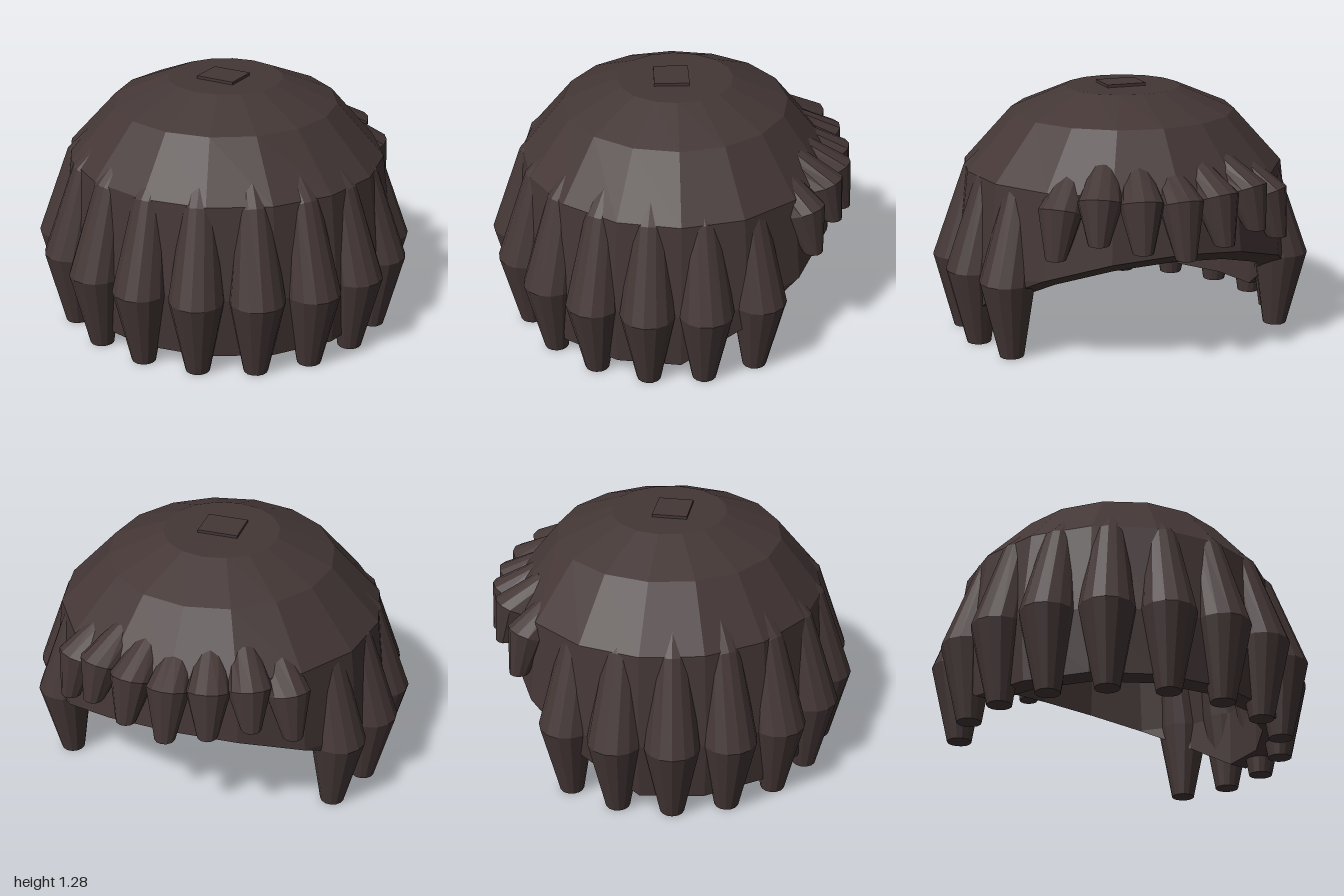
import * as THREE from 'three';

const hair = new THREE.MeshStandardMaterial({ color: 0x443736, flatShading: true, side: THREE.DoubleSide });
hair.name = 'dark brown hair';

// Skin a list of closed rings, ordered from top to bottom
function loft(rings) {
  const n = rings[0].length, pos = rings.flat().flatMap(p => [p.x, p.y, p.z]), index = [];
  for (let j = 0; j < rings.length - 1; j++) {
    for (let i = 0; i < n; i++) {
      const k = (i + 1) % n, a = j * n + i, b = a + n, c = (j + 1) * n + k, d = j * n + k;
      index.push(a, b, c, a, c, d);
    }
  }
  const g = new THREE.BufferGeometry();
  g.setAttribute('position', new THREE.Float32BufferAttribute(pos, 3));
  g.setIndex(index);
  const flat = g.toNonIndexed();
  flat.computeVertexNormals();
  return flat;
}

// Strand at an angle round the head; each section is [distance out, y, radius, tilt]
function strand(angle, sections, depth, sides) {
  const out = new THREE.Vector3(Math.sin(angle), 0, Math.cos(angle));
  const side = new THREE.Vector3(out.z, 0, -out.x);
  return loft(sections.map(([r, y, radius, tilt = 0]) => {
    const centre = new THREE.Vector3(out.x * r, y, out.z * r * depth);
    const up = out.clone().multiplyScalar(Math.cos(tilt)).setY(Math.sin(tilt));
    return Array.from({ length: sides }, (_, i) => {
      const t = i / sides * Math.PI * 2;
      return centre.clone().addScaledVector(side, radius * Math.sin(t)).addScaledVector(up, radius * Math.cos(t));
    });
  }));
}

// Cap of hair, outside and inside: [y, x radius, z radius]
const outer = [[1.27, 0.3, 0.3], [1.15, 0.585, 0.585], [0.875, 0.84, 0.805], [0.4, 0.9, 0.86], [0.08, 0.87, 0.83]];
const inner = [[1.15, 0.25, 0.25], [1.05, 0.49, 0.49], [0.83, 0.7, 0.67], [0.4, 0.77, 0.73], [0.08, 0.76, 0.72]];

function capPoint(profile, a, y) {
  let j = 0;
  while (j < profile.length - 2 && y < profile[j + 1][0]) j++;
  const [p, q] = [profile[j], profile[j + 1]];
  const t = (p[0] - y) / (p[0] - q[0]);
  return new THREE.Vector3(
    Math.sin(a) * THREE.MathUtils.lerp(p[1], q[1], t), y,
    Math.cos(a) * THREE.MathUtils.lerp(p[2], q[2], t) - 0.02);
}

// Rings of one side of the cap; the opening slopes up towards the back
function capRings(profile) {
  const n = 16, top = profile[0][0];
  const rings = [[], ...profile.map(() => [])];
  for (let i = 0; i < n; i++) {
    const a = i / n * Math.PI * 2;
    let cut = 0.08;
    for (let k = 0; k < 8; k++) cut = Math.max(0.08, 0.08 - 0.585 * capPoint(profile, a, cut).z);
    rings[0].push(new THREE.Vector3(0, top, -0.02));
    profile.forEach(([y], j) => rings[j + 1].push(capPoint(profile, a, Math.max(y, cut))));
  }
  return rings;
}

export function createModel() {
  const model = new THREE.Group();
  model.name = 'hair';
  const add = (geometry, name) => {
    const mesh = new THREE.Mesh(geometry, hair);
    mesh.name = name;
    model.add(mesh);
    return mesh;
  };

  // Thick cap: down the outside, across the rim and up the inside
  add(loft([...capRings(outer), ...capRings(inner).reverse()]), 'hairCap');
  add(new THREE.BoxGeometry(0.21, 0.03, 0.18), 'crownPlate').position.set(0, 1.27, 0);

  // Long locks round the front and sides, rooted inside the cap
  const lock = [
    [0.56, 1.04, 0, 0.8], [0.56, 1.04, 0.07, 0.8], [0.755, 0.84, 0.085, 0.4],
    [0.866, 0.4, 0.14], [0.845, 0, 0.062], [0.845, 0, 0]];
  for (let i = -6; i <= 6; i++) {
    add(strand(THREE.MathUtils.degToRad(i * 20), lock, 0.95, 14), 'longLock');
  }

  // Short curls over the back opening, by steps from the middle: [root y, lip y, tip y]
  const heights = [[0.92, 0.83, 0.575], [0.935, 0.84, 0.62], [0.95, 0.85, 0.66], [0.92, 0.79, 0.575]];
  for (let i = -3; i <= 3; i++) {
    const [root, lip, tip] = heights[Math.abs(i)];
    const curl = [
      [0.67, root, 0, 0.87], [0.67, root, 0.075, 0.87],
      [0.84, lip, 0.11, 0.38], [0.905, tip, 0.052], [0.905, tip, 0]];
    add(strand(Math.PI + THREE.MathUtils.degToRad(i * 13.4), curl, 1, 12), 'shortCurl');
  }
  return model;
}
